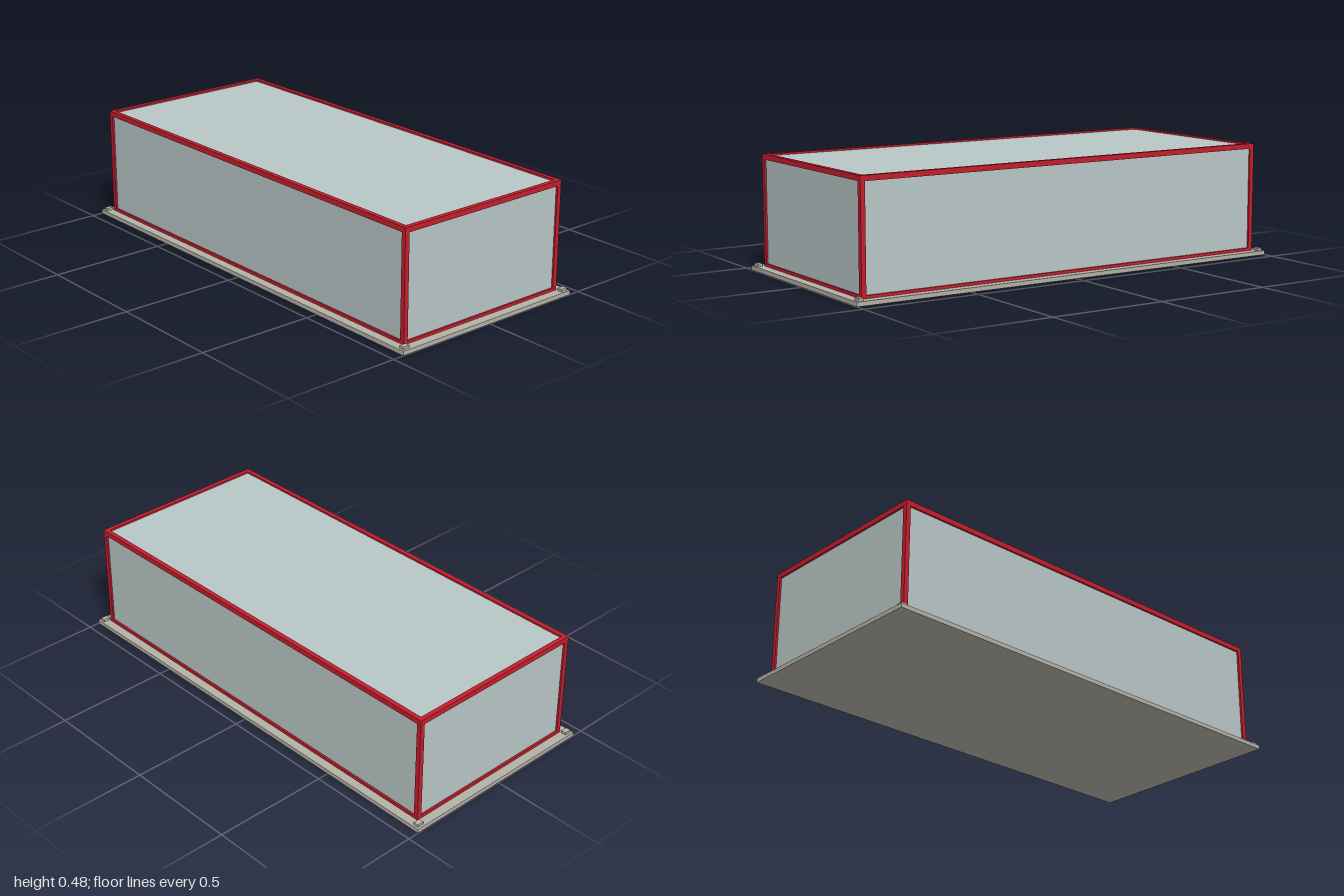
import * as THREE from 'three';

export function createModel() {
  const model = new THREE.Group();
  const red = new THREE.MeshStandardMaterial({ name: 'red frame', color: 0xc41e2e });
  const glass = new THREE.MeshStandardMaterial({ name: 'pale glass', color: 0xb8c7c6 });
  const stone = new THREE.MeshStandardMaterial({ name: 'grey base', color: 0xb4b1a6 });

  // Box spanning two opposite corners
  const box = (name, material, x0, x1, y0, y1, z0, z1) => {
    const mesh = new THREE.Mesh(new THREE.BoxGeometry(x1 - x0, y1 - y0, z1 - z0), material);
    mesh.position.set((x0 + x1) / 2, (y0 + y1) / 2, (z0 + z1) / 2);
    mesh.name = name;
    model.add(mesh);
  };

  const X = 0.96, Z = 0.414, T = 0.02; // outer half sizes and beam thickness
  const baseTop = 0.018, sillTop = 0.03, roofUnder = 0.461, top = 0.483;
  const inset = 0.008;

  // Base slab
  box('base', stone, -1, 1, 0, baseTop, -0.452, 0.452);

  // Glazed body, slightly recessed behind the frame
  box('glassBody', glass, -X + inset, X - inset, baseTop, top - inset, -Z + inset, Z - inset);

  // Horizontal beams along the bottom and top edges
  for (const [name, y0, y1] of [['sill', baseTop, sillTop], ['topBeam', roofUnder, top]]) {
    for (const s of [-1, 1]) {
      const z = s * (Z - T / 2), x = s * (X - T / 2);
      box(name + 'Long', red, -X + T, X - T, y0, y1, z - T / 2, z + T / 2);
      box(name + 'Short', red, x - T / 2, x + T / 2, y0, y1, -Z + T, Z - T);
    }
  }

  // Corner posts and the small blocks beside them on the base
  for (const sx of [-1, 1]) {
    for (const sz of [-1, 1]) {
      const x = sx * (X - T / 2), z = sz * (Z - T / 2);
      box('cornerPost', red, x - T / 2, x + T / 2, baseTop, top, z - T / 2, z + T / 2);
      const bx = sx * 0.979, bz = sz * 0.428;
      box('cornerBlock', stone, bx - 0.011, bx + 0.011, baseTop, 0.029, bz - 0.015, bz + 0.015);
    }
  }
  return model;
}
